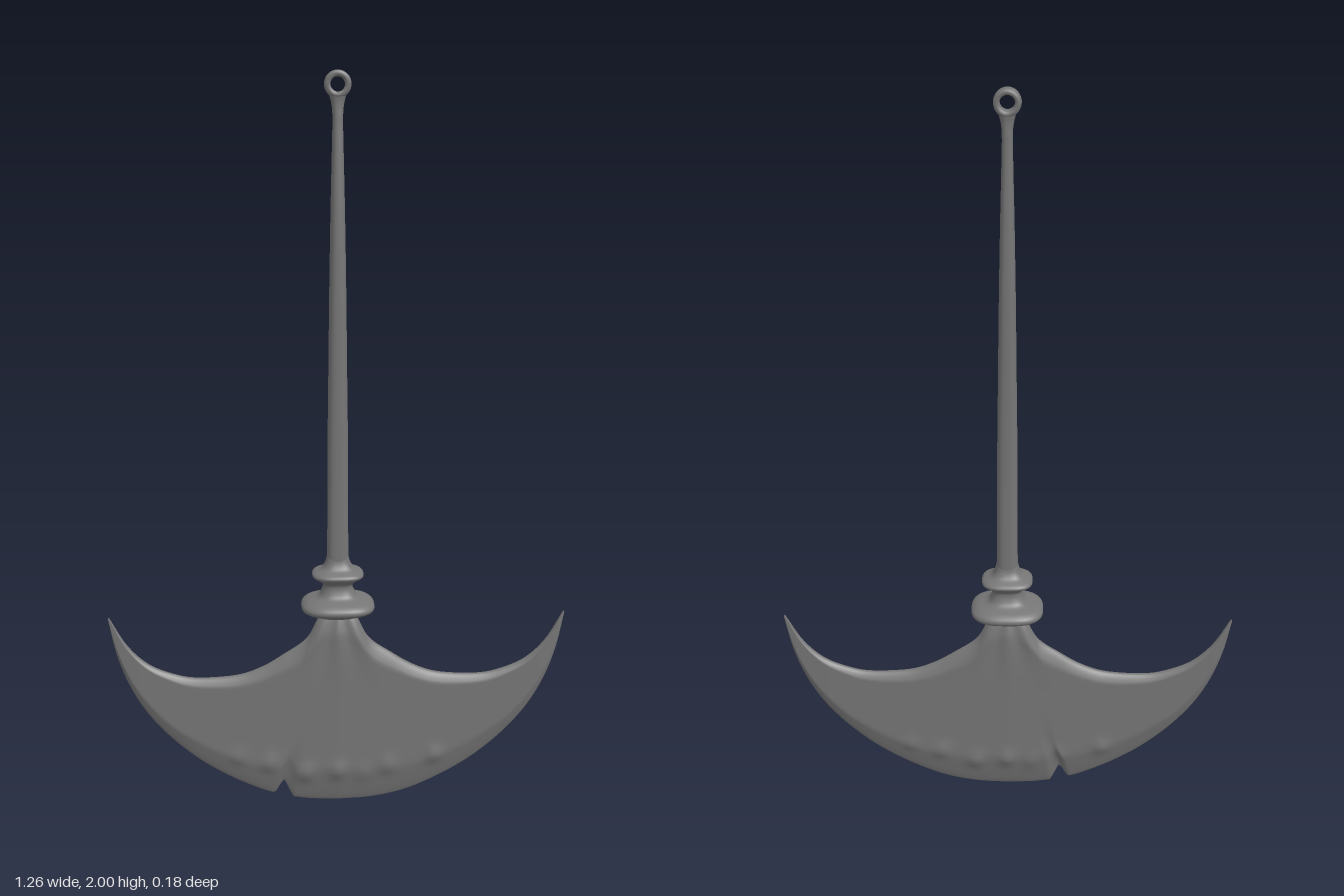
import * as THREE from 'three';
import { mergeVertices } from 'three/addons/utils/BufferGeometryUtils.js';

const material = new THREE.MeshStandardMaterial({ color: 0x767676 });

function addMesh(group, name, geometry) {
  const mesh = new THREE.Mesh(geometry, material);
  mesh.name = name;
  group.add(mesh);
  return mesh;
}

// Smooth curve through [x, y] pairs, uniform so that paired curves stay in step
const curve = (pts) =>
  new THREE.CatmullRomCurve3(pts.map(([x, y]) => new THREE.Vector3(x, y, 0)), false, 'catmullrom', 0.5);

// Lathe whose round section is pushed towards a rounded square; depth(y) scales z
function squaredLathe(pts, steps, power, depth) {
  const profile = curve(pts).getPoints(steps).map((p) => new THREE.Vector2(Math.max(p.x, 0), p.y));
  let geo = new THREE.LatheGeometry(profile, 48);
  const pos = geo.attributes.position;
  for (let i = 0; i < pos.count; i++) {
    const x = pos.getX(i), y = pos.getY(i), z = pos.getZ(i), r = Math.hypot(x, z);
    if (r < 1e-6) continue; // points on the axis stay put
    const k = 1 / Math.pow(Math.abs(x / r) ** power + Math.abs(z / r) ** power, 1 / power);
    pos.setXYZ(i, x * k, y, z * k * depth(y));
  }
  geo.deleteAttribute('uv');
  geo.deleteAttribute('normal');
  geo = mergeVertices(geo);
  geo.computeVertexNormals();
  return geo;
}

// Crescent blade: lens sections between a paired upper and lower outline
function bladeGeometry() {
  const upper = curve([[0, 0.575], [0.045, 0.56], [0.085, 0.49], [0.148, 0.444], [0.21, 0.407], [0.28, 0.384],
    [0.386, 0.378], [0.455, 0.391], [0.522, 0.421], [0.578, 0.476], [0.625, 0.557]]);
  const lower = curve([[0, 0.004], [0.09, 0.009], [0.175, 0.026], [0.25, 0.055], [0.33, 0.097], [0.4, 0.145],
    [0.47, 0.208], [0.53, 0.28], [0.575, 0.36], [0.607, 0.45], [0.628, 0.553]]);
  const half = 100, rows = 40, ring = rows * 2;
  // dents as [x, size]
  const bumps = [[-0.28, 0.4], [-0.19, 0.7], [-0.09, 1], [0, 0.9], [0.07, 0.5], [0.14, 0.6], [0.27, 0.7]];
  const gauss = (d, w) => Math.exp(-((d / w) ** 2));
  const verts = [], index = [];

  for (let i = -half; i <= half; i++) {
    const side = Math.sign(i), t = Math.abs(i) / half;
    const top = upper.getPoint(t), low = lower.getPoint(t);
    // nick in the cutting edge
    low.y += 0.05 * Math.max(0, 1 - Math.abs(side * low.x + 0.152) / 0.026);
    for (let j = 0; j < ring; j++) {
      const face = j <= rows ? 1 : -1;
      const v = (j <= rows ? j : ring - j) / rows;
      const s = (1 - Math.cos(Math.PI * v)) / 2;
      const x = side * (low.x + (top.x - low.x) * s);
      const y = low.y + (top.y - low.y) * s;
      const bevel = Math.min(1, s / 0.18) ** 0.75 * Math.min(1, Math.sqrt((1 - s) / 0.12));
      let h = 0.027 * Math.max(0, 1 - Math.abs(x) / 0.629) ** 0.42;
      // folds fanning out below the neck
      const d = Math.hypot(x, 0.62 - y), a = Math.atan2(x, 0.62 - y);
      h += 0.003 * Math.cos(a * 14) * gauss(d - 0.12, 0.1);
      // hammered dents above the edge, and a crack rising from the nick
      bumps.forEach(([bx, size], n) => {
        const by = 0.085 + bx * bx * 0.8 + 0.015 * (n % 2);
        h += 0.011 * size * gauss(Math.hypot(x - bx * face, y - by), 0.024);
      });
      const crack = -0.152 + (y - 0.05) * 0.3;
      h -= 0.011 * gauss(x - crack, 0.012) * gauss(y - 0.08, 0.08);
      verts.push(x, y, face * Math.max(0, h) * bevel);
    }
  }
  for (let i = 0; i < half * 2; i++) {
    for (let j = 0; j < ring; j++) {
      const a = i * ring + j, b = a + ring;
      const c = i * ring + ((j + 1) % ring), e = c + ring;
      index.push(a, b, e, a, e, c);
    }
  }
  const geo = new THREE.BufferGeometry();
  geo.setAttribute('position', new THREE.Float32BufferAttribute(verts, 3));
  geo.setIndex(index);
  geo.computeVertexNormals();
  return geo;
}

export function createModel() {
  const group = new THREE.Group();

  addMesh(group, 'blade', bladeGeometry());

  // Two-disc collar joining blade and shaft
  addMesh(group, 'collar', squaredLathe([[0, 0.553], [0.04, 0.554], [0.07, 0.565], [0.096, 0.577], [0.099, 0.59],
    [0.085, 0.602], [0.055, 0.613], [0.043, 0.63], [0.041, 0.648], [0.053, 0.66], [0.069, 0.671], [0.066, 0.681],
    [0.045, 0.692], [0.035, 0.705], [0.03, 0.722], [0.026, 0.745]], 90, 2.9, () => 0.92));

  // Shaft narrows in width but keeps more of its depth
  addMesh(group, 'shaft', squaredLathe([[0.029, 0.68], [0.028, 0.85], [0.027, 1.05], [0.0245, 1.25], [0.022, 1.45],
    [0.0185, 1.65], [0.015, 1.8], [0.0135, 1.88], [0.016, 1.915], [0.023, 1.943]], 60, 2.8,
  (y) => 1 + 0.55 * THREE.MathUtils.smoothstep(y, 0.9, 1.85) - 0.5 * THREE.MathUtils.smoothstep(y, 1.88, 1.943)));

  // Hanging eye: rounded band with its hole along z
  const band = [[0.019, -0.018], [0.022, -0.024], [0.03, -0.024], [0.034, -0.018], [0.035, 0], [0.034, 0.018],
    [0.03, 0.024], [0.022, 0.024], [0.019, 0.018], [0.0185, 0], [0.019, -0.018]];
  const eye = addMesh(group, 'hangingEye',
    new THREE.LatheGeometry(band.map(([r, z]) => new THREE.Vector2(r, z)), 40));
  eye.rotation.x = Math.PI / 2;
  eye.position.y = 1.965;

  return group;
}
